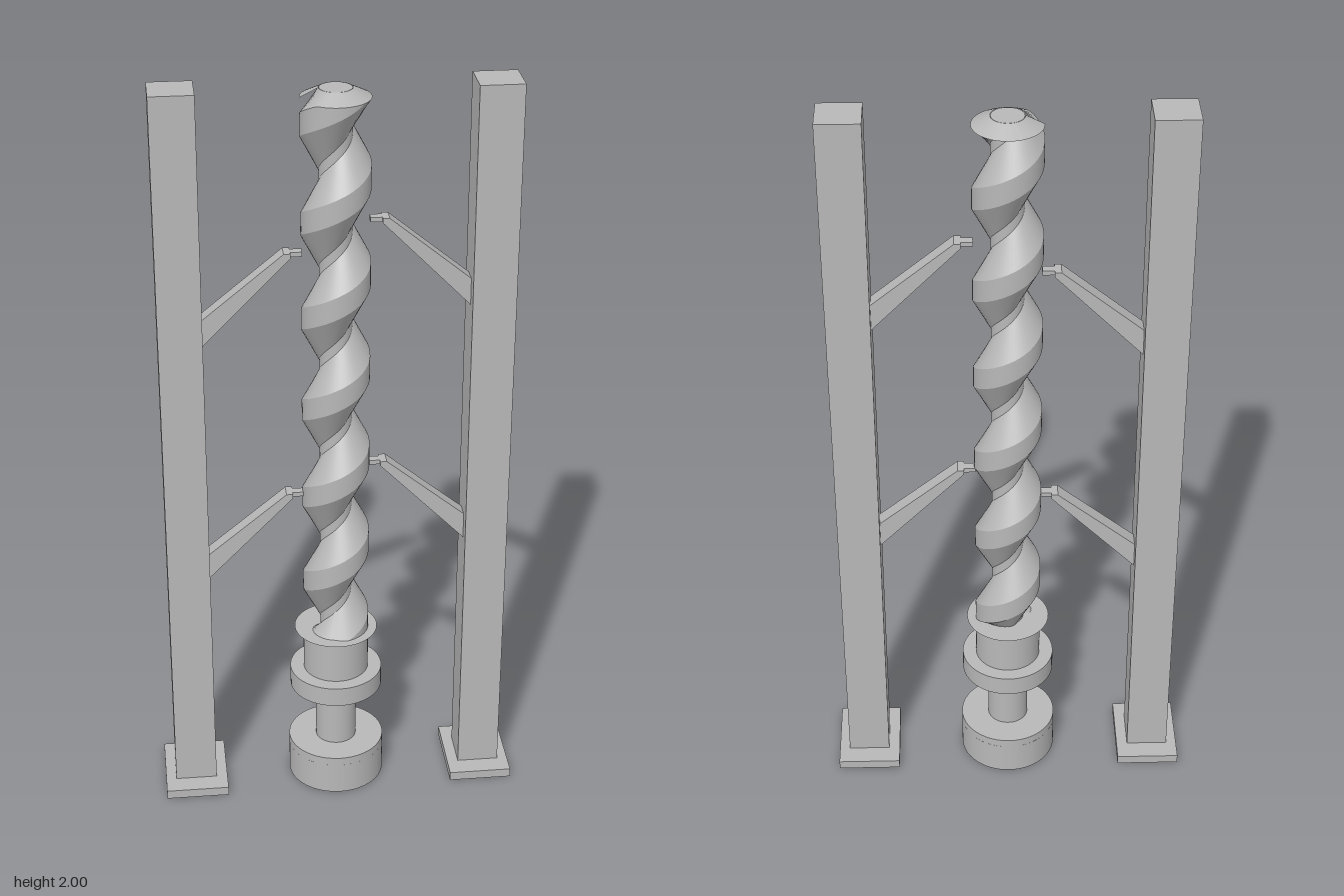
import * as THREE from 'three';
import { mergeGeometries } from 'three/addons/utils/BufferGeometryUtils.js';

const PITCH = 0.2565, ROOT = 0.042, CREST = 0.088;
const SCREW_BOTTOM = 0.45, SCREW_TOP = 1.99;

// One helical band between two profile points [radius, height offset]
function helixBand([r0, h0], [r1, h1]) {
  const pos = [], idx = [], per = 40, turns = 8;
  const end = -Math.PI / 2 + Math.PI * 2; // crest passes -x at y = 1.90
  const n = per * turns;
  for (let i = 0; i <= n; i++) {
    const a = end - (n - i) * 2 * Math.PI / per;
    const y = 1.90 + PITCH * (a + Math.PI / 2) / (2 * Math.PI);
    for (const [r, h] of [[r0, h0], [r1, h1]]) {
      const top = SCREW_TOP - 0.5 * (r - ROOT);
      pos.push(r * Math.sin(a), Math.min(top, Math.max(SCREW_BOTTOM, y + h)), r * Math.cos(a));
    }
  }
  for (let i = 0; i < n; i++) {
    const k = i * 2;
    if ([k, k + 1, k + 2, k + 3].every(v => pos[v * 3 + 1] === SCREW_BOTTOM)) continue;
    idx.push(k, k + 2, k + 3, k, k + 3, k + 1);
  }
  const g = new THREE.BufferGeometry();
  g.setAttribute('position', new THREE.Float32BufferAttribute(pos, 3));
  g.setIndex(idx);
  g.computeVertexNormals();
  return g;
}

export function createModel() {
  const model = new THREE.Group();
  model.name = 'screwTower';
  const grey = new THREE.MeshStandardMaterial({ color: 0xb8b8b8 });
  grey.name = 'grey';
  const greyThin = grey.clone();
  greyThin.side = THREE.DoubleSide;

  const add = (name, geo, x = 0, y = 0, z = 0, mat = grey) => {
    const mesh = new THREE.Mesh(geo, mat);
    mesh.name = name;
    mesh.position.set(x, y, z);
    model.add(mesh);
    return mesh;
  };
  const cylinder = (name, r, y0, y1) =>
    add(name, new THREE.CylinderGeometry(r, r, y1 - y0, 48), 0, (y0 + y1) / 2);

  // Screw: lower flank, crest, upper flank and root over one pitch
  const profile = [[ROOT, -0.113], [CREST, -0.03], [CREST, 0.03], [ROOT, 0.113], [ROOT, PITCH - 0.113]];
  const bands = profile.slice(1).map((p, i) => helixBand(profile[i], p));
  add('screwThread', mergeGeometries(bands), 0, 0, 0, greyThin);
  cylinder('screwCore', ROOT - 0.001, SCREW_BOTTOM, SCREW_TOP);

  // Drive below the screw
  const disc = new THREE.CircleGeometry(0.112, 48).rotateX(-Math.PI / 2);
  add('collarDisc', disc, 0, 0.467, 0, greyThin);
  cylinder('collar', 0.088, 0.34, 0.466);
  cylinder('flange', 0.125, 0.285, 0.34);
  cylinder('driveShaft', 0.055, 0.09, 0.285);

  // Foot cup, open underneath
  const ring = new THREE.Shape().absarc(0, 0, 0.13, 0, Math.PI * 2);
  ring.holes.push(new THREE.Path().absarc(0, 0, 0.1, 0, Math.PI * 2, true));
  const wall = new THREE.ExtrudeGeometry(ring, { depth: 0.09, bevelEnabled: false, curveSegments: 48 });
  add('footCupWall', wall.rotateX(-Math.PI / 2));
  cylinder('footCupTop', 0.13, 0.09, 0.113);

  // Posts, base plates and bracket arms on both sides
  for (const side of [1, -1]) {
    const label = side > 0 ? 'left' : 'right';
    add(label + 'Post', new THREE.BoxGeometry(0.112, 1.98, 0.112), side * 0.396, 1.01, 0);
    add(label + 'BasePlate', new THREE.BoxGeometry(0.17, 0.025, 0.222), side * 0.395, 0.0125, 0);

    for (const lift of [0, -0.68]) {
      const tip = (side > 0 ? 1.657 : 1.573) + lift;
      const arm = new THREE.Shape([
        [0.345, -0.247], [0.345, -0.174], [0.132, 0], [0.115, 0], [0.115, -0.012],
      ].map(([x, y]) => new THREE.Vector2(side * x, y)));
      const armGeo = new THREE.ExtrudeGeometry(arm, { depth: 0.044, bevelEnabled: false });
      add(label + 'Arm', armGeo, 0, tip, -0.022);
      add(label + 'ArmTab', new THREE.BoxGeometry(0.035, 0.012, 0.024), side * 0.1025, tip - 0.006, 0);
    }
  }
  return model;
}
